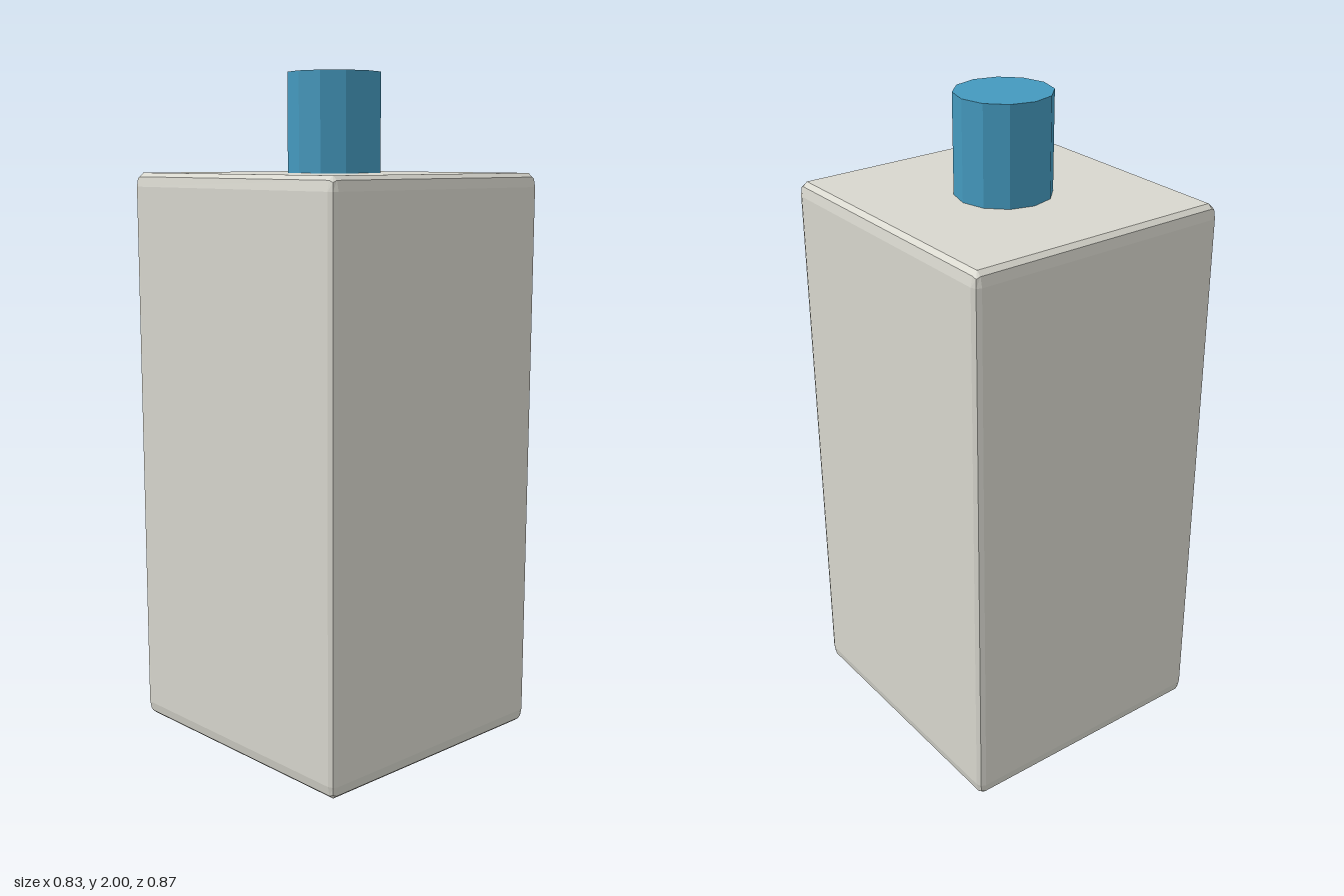
import * as THREE from 'three';
import { RoundedBoxGeometry } from 'three/addons/geometries/RoundedBoxGeometry.js';

const BODY = { width: 0.83, height: 1.71, depth: 0.87 };
const CAP = { radius: 0.141, top: 2, sides: 12 };

function part(name, geometry, color, y) {
  const material = new THREE.MeshStandardMaterial({ color, flatShading: true });
  const mesh = new THREE.Mesh(geometry, material);
  mesh.name = name;
  mesh.position.y = y;
  return mesh;
}

export function createModel() {
  const model = new THREE.Group();
  model.name = 'bottle';

  // Body: a unit box with two-step bevels, stretched so the bevels are taller than wide
  const body = new RoundedBoxGeometry(1, 1, 1, 1, 0.024);
  body.scale(BODY.width, BODY.height, BODY.depth);
  model.add(part('body', body, 0xd8d7ce, BODY.height / 2));

  // Cap: a twelve-sided cylinder standing on the body
  const capHeight = CAP.top - BODY.height;
  const cap = new THREE.CylinderGeometry(CAP.radius, CAP.radius, capHeight, CAP.sides);
  model.add(part('cap', cap, 0x4499be, BODY.height + capHeight / 2));

  return model;
}
